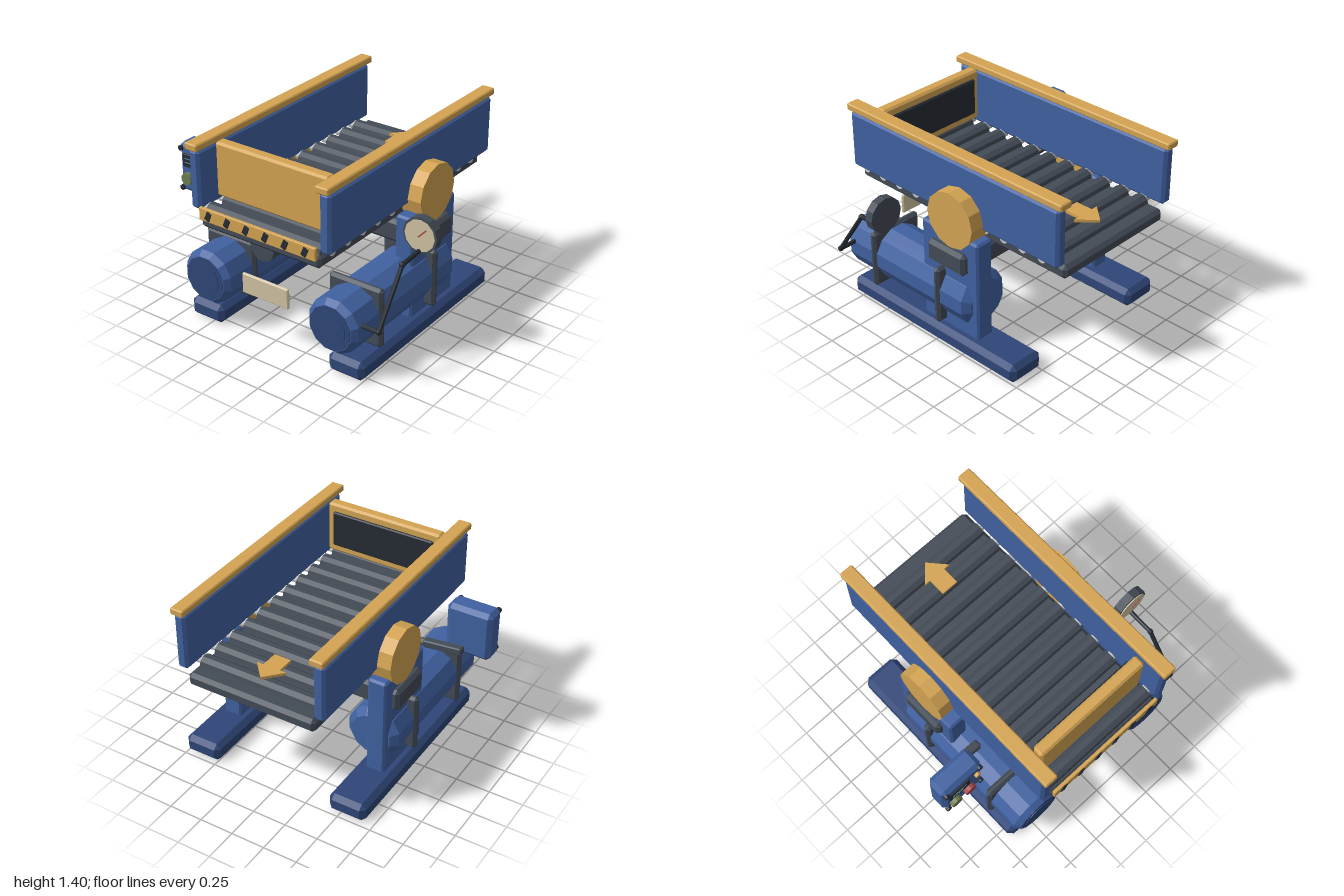
import * as THREE from 'three';
import { ConvexGeometry } from 'three/addons/geometries/ConvexGeometry.js';

const paint = (color) => new THREE.MeshStandardMaterial({ color, flatShading: true });
const BLUE = paint(0x4061a0), NAVY = paint(0x2f4678), YELLOW = paint(0xd4a453), DARK = paint(0x434b56),
  BLACK = paint(0x262c34), CREAM = paint(0xd1c4a3), GREEN = paint(0x6f7d50), RED = paint(0xa84a50),
  TEAL = paint(0x5f8f95), GREY = paint(0xcccccc);

// Box with all edges chamfered by c
function chamferBox(w, h, d, c) {
  const pts = [], s = [-1, 1];
  for (const i of s) for (const j of s) for (const k of s) {
    const x = i * w / 2, y = j * h / 2, z = k * d / 2;
    pts.push(new THREE.Vector3(x, y - j * c, z - k * c),
      new THREE.Vector3(x - i * c, y, z - k * c),
      new THREE.Vector3(x - i * c, y - j * c, z));
  }
  return new ConvexGeometry(pts);
}

// Cylinder lying along the x or z axis
function rod(r, length, axis, sides = 12) {
  const g = new THREE.CylinderGeometry(r, r, length, sides);
  return axis === 'x' ? g.rotateZ(Math.PI / 2) : g.rotateX(Math.PI / 2);
}

export function createModel() {
  const model = new THREE.Group();
  model.name = 'conveyorTable';
  const body = new THREE.Group();
  body.name = 'body';
  body.position.x = 0.035;
  model.add(body);

  const add = (name, geo, mat, x = 0, y = 0, z = 0) => {
    const m = new THREE.Mesh(geo, mat);
    m.name = name;
    m.position.set(x, y, z);
    body.add(m);
    return m;
  };

  // Motor shell, turned about its axis, flats facing up
  const shell = new THREE.LatheGeometry(
    [[0, -0.30], [0.15, -0.30], [0.2, -0.25], [0.2, 0.85], [0.165, 0.89], [0, 0.89]]
      .map(([r, y]) => new THREE.Vector2(r, y)), 12).rotateY(Math.PI / 12).rotateX(Math.PI / 2);
  const cap = rod(0.16, 0.01, 'z').rotateZ(Math.PI / 12);
  const capCentre = rod(0.12, 0.012, 'z').rotateZ(Math.PI / 12);

  // Both sides: skid, post, motor, collars, wall, rail and drive cover
  for (const s of [-1, 1]) {
    add('skid', chamferBox(0.28, 0.14, 1.56, 0.035), NAVY, s * 0.585, 0.07, 0.05);
    add('post', chamferBox(0.14, 0.78, 0.515, 0.015), BLUE, s * 0.585, 0.49, -0.092);
    add('motor', shell, BLUE, s * 0.52, 0.38, 0);
    add('motorCap', cap, NAVY, s * 0.52, 0.38, 0.888);
    add('motorCapCentre', capCentre, NAVY, s * 0.52, 0.38, 0.892);
    for (const z of [0.6, -0.025])
      add('collar', chamferBox(0.42, 0.435, 0.055, 0.02), DARK, s * 0.52, 0.378, z);
    add('sideWall', chamferBox(0.085, 0.42, 1.89, 0.02), BLUE, s * 0.52, 1.14, 0);
    add('topRail', chamferBox(0.1, 0.05, 1.94, 0.008), YELLOW, s * 0.517, 1.378, 0);
    add('driveCover', rod(0.205, 0.155, 'x'), YELLOW, s * 0.586, 0.975, -0.108);
  }

  // Cross beam, central tube and bed
  add('crossBeam', chamferBox(1.4, 0.165, 0.34, 0.025), DARK, 0, 0.692, -0.09);
  add('centreTube', rod(0.095, 1.11, 'z'), DARK, 0, 0.795, 0.355);
  add('bed', chamferBox(0.97, 0.1, 1.89, 0.025), DARK, 0, 0.86, 0);

  // Rollers with pale axle ends
  for (let i = 0; i < 11; i++) {
    const z = 0.855 - i * 0.163;
    add('roller', rod(0.062, 0.93, 'x', 10), DARK, 0, 0.9, z);
    add('rollerAxle', rod(0.034, 1.04, 'x', 10), GREY, 0, 0.922, z);
  }

  // End board with inset panel on its inner face
  add('endBoard', chamferBox(0.9, 0.385, 0.085, 0.015), YELLOW, 0, 1.188, 0.768);
  add('endBoardPanel', chamferBox(0.8, 0.27, 0.03, 0.008), BLACK, 0, 1.188, 0.722);

  // Striped bumper
  add('bumper', chamferBox(0.94, 0.092, 0.025, 0.004), YELLOW, 0, 0.925, 0.957);
  for (let i = 0; i < 6; i++)
    add('bumperStripe', new THREE.BoxGeometry(0.038, 0.062, 0.015), BLACK, -0.39 + i * 0.156, 0.925, 0.97)
      .rotation.z = -0.4;

  // Direction arrow lying on the rollers
  const arrow = new THREE.Shape([[-0.063, -0.125], [0.063, -0.125], [0.063, 0.005], [0.112, 0.005],
    [0, 0.13], [-0.112, 0.005], [-0.063, 0.005]].map(([x, y]) => new THREE.Vector2(x, y)));
  add('directionArrow', new THREE.ExtrudeGeometry(arrow, { depth: 0.02, bevelEnabled: false })
    .rotateX(-Math.PI / 2), YELLOW, 0, 0.962, -0.68);

  // Blank plate between the motors
  add('signPlate', chamferBox(0.38, 0.15, 0.025, 0.008), CREAM, 0, 0.47, 0.885);

  // Control box on its arm
  add('controlArm', chamferBox(0.29, 0.055, 0.06, 0.008), DARK, -0.71, 0.79, 0.34).rotation.z = -0.1;
  add('controlBox', chamferBox(0.335, 0.37, 0.16, 0.03), BLUE, -0.867, 0.935, 0.453);
  add('screen', chamferBox(0.175, 0.1, 0.02, 0.005), BLACK, -0.905, 0.998, 0.535);
  for (const [x, y, w] of [[-0.91, 1.015, 0.12], [-0.925, 0.985, 0.09]])
    add('screenLine', new THREE.BoxGeometry(w, 0.006, 0.004), TEAL, x, y, 0.546);
  add('greenButton', rod(0.044, 0.04, 'z'), GREEN, -0.95, 0.865, 0.545);
  add('redButton', rod(0.044, 0.04, 'z'), RED, -0.83, 0.865, 0.545);
  add('indicatorLamp', rod(0.022, 0.03, 'z'), YELLOW, -0.755, 1.01, 0.54);
  for (const x of [-1, 1]) for (const y of [-1, 1])
    add('boxBolt', rod(0.02, 0.025, 'z', 8), BLACK, -0.867 + x * 0.141, 0.93 + y * 0.15, 0.533);

  // Pressure gauge
  add('gaugeCase', rod(0.128, 0.06, 'z'), DARK, 0.835, 0.915, 0.335);
  add('gaugeFace', rod(0.112, 0.012, 'z'), CREAM, 0.835, 0.915, 0.366);
  add('gaugeNeedle', new THREE.BoxGeometry(0.01, 0.08, 0.008), RED, 0.857, 0.938, 0.375).rotation.z = -0.75;

  // Bent pipe from the gauge to the motor
  const path = [[0.835, 0.81, 0.34], [0.835, 0.795, 0.56], [0.835, 0.43, 0.81], [0.69, 0.43, 0.81]]
    .map((p) => new THREE.Vector3(...p));
  for (let i = 0; i < 3; i++) {
    add('gaugePipe', new THREE.TubeGeometry(new THREE.LineCurve3(path[i], path[i + 1]), 1, 0.016, 8), BLACK);
    if (i) add('pipeJoint', new THREE.IcosahedronGeometry(0.021, 1), BLACK, path[i].x, path[i].y, path[i].z);
  }
  return model;
}
